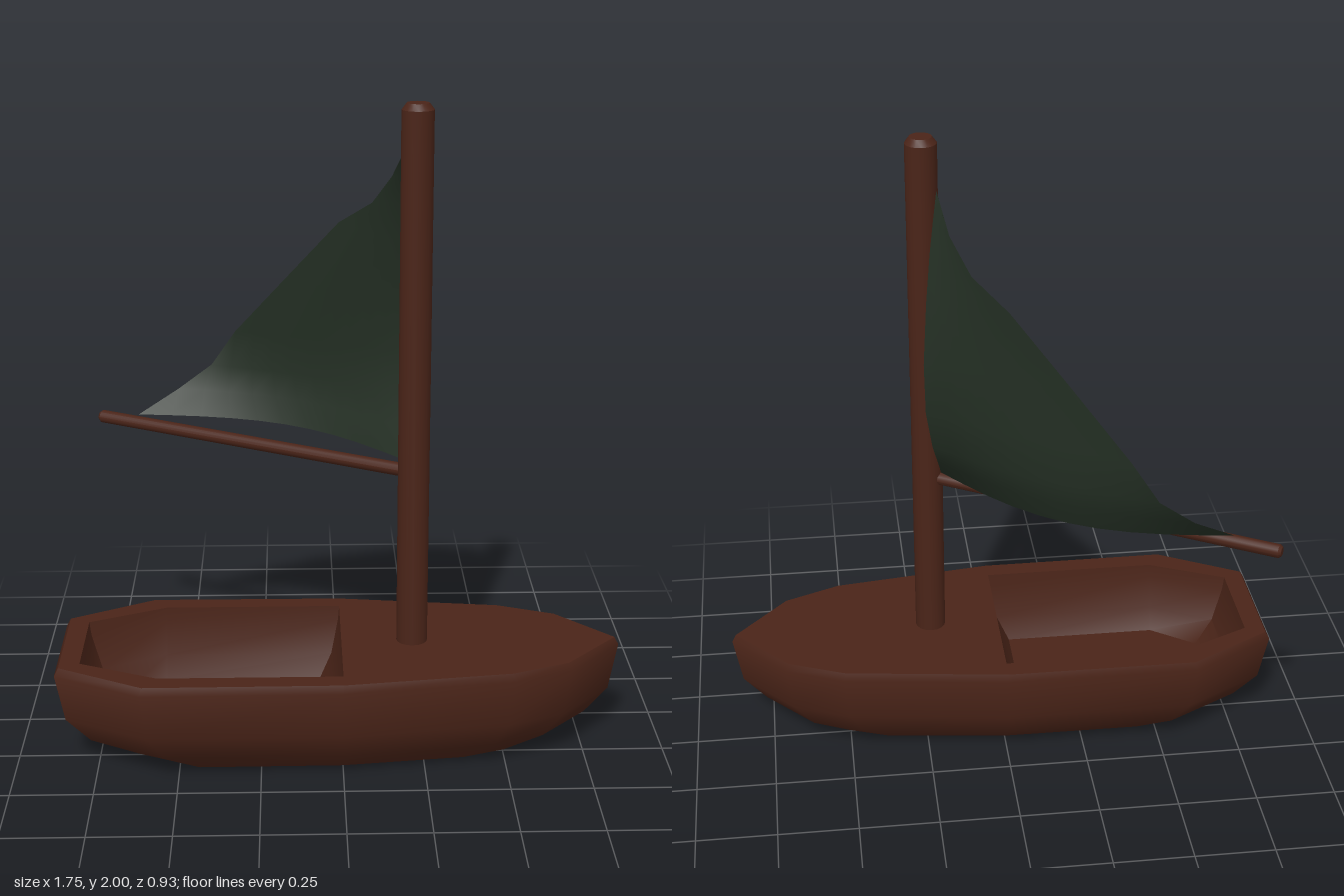
import * as THREE from 'three';
import { toCreasedNormals } from 'three/addons/utils/BufferGeometryUtils.js';

const wood = new THREE.MeshStandardMaterial({ color: 0x4a2418 });
const cloth = new THREE.MeshStandardMaterial({ color: 0x222d22, side: THREE.DoubleSide });

function part(name, geometry, material = wood) {
  const mesh = new THREE.Mesh(geometry, material);
  mesh.name = name;
  return mesh;
}

// Closed outline from its starboard half, mirrored across the keel
function mirrored(half) {
  const back = half.filter(([, y]) => y !== 0).reverse().map(([x, y]) => [x, -y]);
  return [...half, ...back];
}

// Wall through closed rings of equal length; each ring is { y, pts }
function loft(rings) {
  const pos = [], index = [], n = rings[0].pts.length;
  for (const { y, pts } of rings) for (const [x, d] of pts) pos.push(x, y, -d);
  for (let r = 0; r < rings.length - 1; r++) {
    for (let i = 0; i < n; i++) {
      const a = r * n + i, b = r * n + (i + 1) % n;
      index.push(a, b, b + n, a, b + n, a + n);
    }
  }
  const g = new THREE.BufferGeometry();
  g.setAttribute('position', new THREE.Float32BufferAttribute(pos, 3));
  g.setIndex(index);
  return toCreasedNormals(g, 0.75);
}

// Flat horizontal panel, facing up or down
function panel(pts, y, hole, up = true) {
  const vec = (list) => list.map(([x, d]) => new THREE.Vector2(x, d));
  const shape = new THREE.Shape(vec(pts));
  if (hole) shape.holes.push(new THREE.Path(vec(hole)));
  return new THREE.ShapeGeometry(shape).rotateX(up ? -Math.PI / 2 : Math.PI / 2).translate(0, y, 0);
}

// Round pole with a bevelled tip, standing on its origin
function spar(length, r) {
  const profile = [[0, 0], [r, 0], [r, length - r * 0.4], [r * 0.7, length], [0, length]];
  const g = new THREE.LatheGeometry(profile.map(([x, y]) => new THREE.Vector2(x, y)), 16);
  return toCreasedNormals(g, 0.6);
}

function makeHull() {
  const hull = new THREE.Group();
  hull.name = 'hull';
  const outline = mirrored([[-0.875, -0.19], [-0.61, -0.338], [0, -0.335], [0.52, -0.265], [0.7, -0.19], [0.87, 0]]);
  // height, length scale, width scale
  const rings = [[0, 0.72, 0.63], [0.07, 0.885, 0.85], [0.15, 0.968, 0.95], [0.3, 1, 1], [0.325, 0.985, 0.975]]
    .map(([y, sx, sz]) => ({ y, pts: outline.map(([x, d]) => [x * sx, d * sz]) }));
  const rim = mirrored([[-0.8, -0.155], [-0.56, -0.265], [0, -0.265]]);
  const floor = mirrored([[-0.7, -0.105], [-0.56, -0.205], [-0.065, -0.205]]);
  const well = [[0.325, 0], [0.28, 0.06], [0.17, 0.4], [0.095, 1]].map(([y, t]) => ({
    y, pts: rim.map(([x, d], i) => [x + (floor[i][0] - x) * t, d + (floor[i][1] - d) * t]),
  }));
  hull.add(
    part('hullSides', loft(rings)),
    part('hullBottom', panel(rings[0].pts, 0, null, false)),
    part('deck', panel(rings[4].pts, 0.325, rim)),
    part('cockpitWalls', loft(well)),
    part('cockpitFloor', panel(floor, 0.095)),
  );
  hull.position.z = 0.125;
  return hull;
}

function makeSail() {
  // Rows from foot to head: edge at the mast, outer edge, and belly depth
  const rows = [
    [[0.18, 0.91, 0.085], [-0.65, 0.905, -0.39], 0.13],
    [[0.195, 0.985, 0.015], [-0.52, 0.98, -0.43], 0.075],
    [[0.215, 1.07, -0.04], [-0.41, 1.06, -0.437], 0.035],
    [[0.235, 1.2, -0.062], [-0.33, 1.18, -0.41], 0.01],
    [[0.238, 1.36, -0.062], [-0.17, 1.375, -0.31], 0],
    [[0.225, 1.54, -0.03], [0, 1.58, -0.21], 0],
    [[0.21, 1.68, 0.0], [0.1, 1.66, -0.12], 0],
    [[0.195, 1.77, 0.04], [0.155, 1.755, -0.04], 0],
    [[0.18, 1.845, 0.085], [0.178, 1.84, 0.08], 0],
  ];
  const cols = 10, pos = [], index = [];
  rows.forEach(([a, b, belly], r) => {
    for (let c = 0; c <= cols; c++) {
      const t = c / cols, push = belly * Math.sin(Math.PI * t);
      const p = new THREE.Vector3(...a).lerp(new THREE.Vector3(...b), t);
      pos.push(p.x + push * 0.5, p.y, p.z - push * 0.86);
      if (r && c) {
        const i = r * (cols + 1) + c, j = i - cols - 1;
        index.push(j - 1, i, j, j - 1, i - 1, i);
      }
    }
  });
  const g = new THREE.BufferGeometry();
  g.setAttribute('position', new THREE.Float32BufferAttribute(pos, 3));
  g.setIndex(index);
  g.computeVertexNormals();
  return part('sail', g, cloth);
}

export function createModel() {
  const model = new THREE.Group();
  model.name = 'sailboat';

  const mast = part('mast', spar(1.7, 0.048));
  mast.position.set(0.22, 0.3, 0.125);

  // Boom swung out over the far side
  const start = new THREE.Vector3(0.22, 0.88, 0.125), end = new THREE.Vector3(-0.78, 0.88, -0.457);
  const along = end.clone().sub(start);
  const boom = part('boom', spar(along.length(), 0.021));
  boom.position.copy(start);
  boom.quaternion.setFromUnitVectors(new THREE.Vector3(0, 1, 0), along.normalize());

  model.add(makeHull(), mast, boom, makeSail());
  return model;
}
